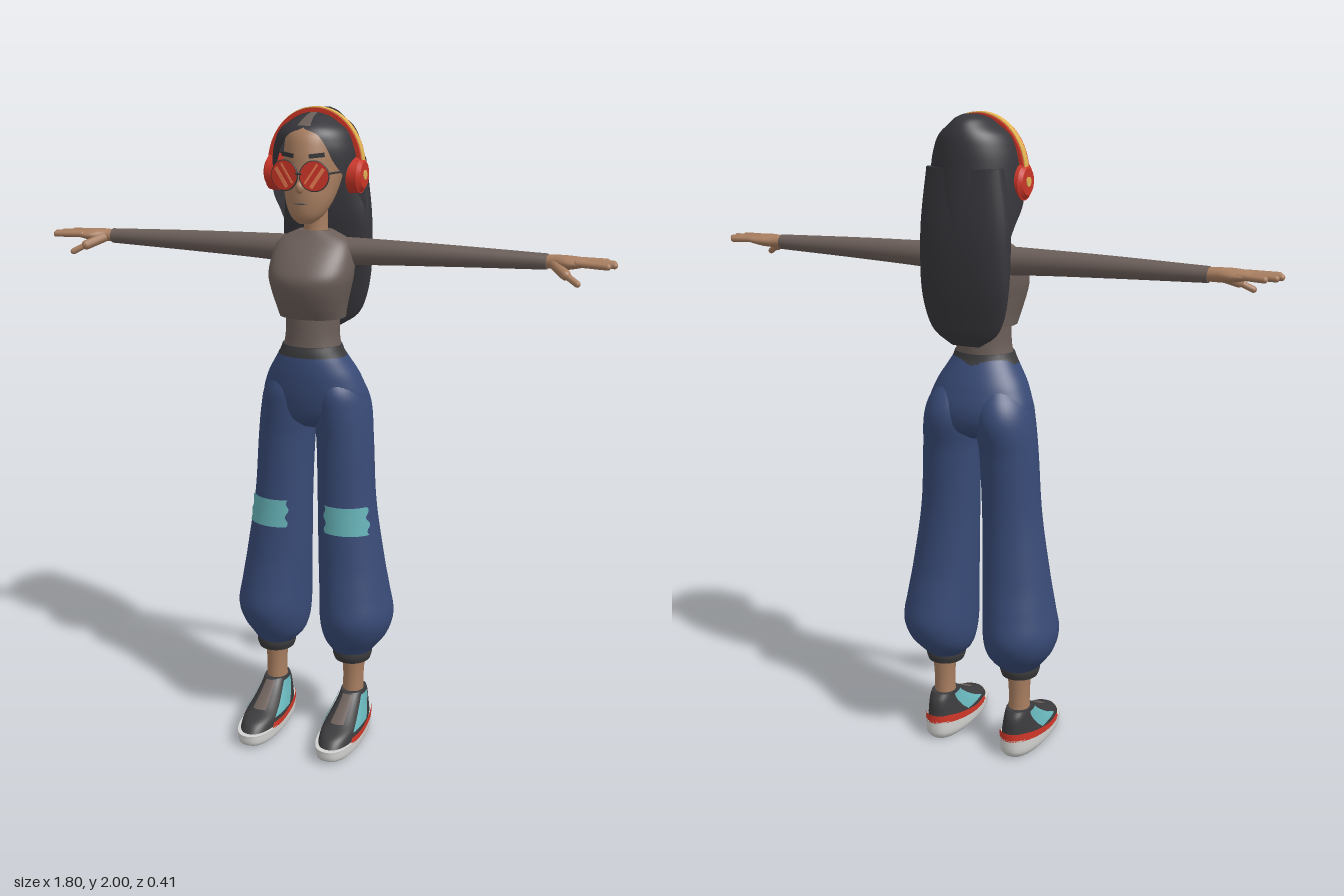
import * as THREE from 'three';

const mat = (name, color, side = THREE.FrontSide) => {
  const m = new THREE.MeshStandardMaterial({ color, side });
  m.name = name;
  return m;
};

// Smooth interpolation of table rows, keyed by their first column.
function at(rows, y) {
  let i = 0;
  while (i < rows.length - 2 && y > rows[i + 1][0]) i++;
  const a = rows[i], b = rows[i + 1], h = b[0] - a[0];
  const t = THREE.MathUtils.clamp((y - a[0]) / h, 0, 1), t2 = t * t, t3 = t2 * t;
  const slope = (j, k) => {
    const p = rows[Math.max(j - 1, 0)], q = rows[Math.min(j + 1, rows.length - 1)];
    return (q[k] - p[k]) / (q[0] - p[0]);
  };
  return a.slice(1).map((v, n) => {
    const k = n + 1;
    return v * (2 * t3 - 3 * t2 + 1) + b[k] * (3 * t2 - 2 * t3)
      + h * (slope(i, k) * (t3 - 2 * t2 + t) + slope(i + 1, k) * (t3 - t2));
  });
}

// Lofts rounded sections [y, xMin, xMax, zBack, zFront]; angle 0 is +x, 90 is the front.
// With a0 / a1 it makes an open patch of the same surface, pushed out by off.
function loft(rows, { p = 2, y0 = rows[0][0], y1 = rows[rows.length - 1][0], ny = 28, na = 36,
  a0 = null, a1 = null, off = 0, caps = a0 === null } = {}) {
  const closed = a0 === null, cols = closed ? na : na + 1, pos = [], idx = [];
  const pw = (v) => Math.sign(v) * Math.pow(Math.abs(v), 2 / p);
  for (let i = 0; i <= ny; i++) {
    const y = y0 + (y1 - y0) * i / ny, [xa, xb, za, zb] = at(rows, y);
    const s = closed ? 0 : a0(y), e = closed ? 360 : a1(y);
    for (let j = 0; j < cols; j++) {
      const t = THREE.MathUtils.degToRad(s + (e - s) * j / na);
      pos.push((xa + xb) / 2 + ((xb - xa) / 2 + off) * pw(Math.cos(t)), y,
        (za + zb) / 2 + ((zb - za) / 2 + off) * pw(Math.sin(t)));
    }
  }
  for (let i = 0; i < ny; i++) for (let j = 0; j < na; j++) {
    const a = i * cols + j, b = i * cols + (j + 1) % cols, c = a + cols, d = b + cols;
    idx.push(a, c, b, b, c, d);
  }
  if (caps) for (const row of [0, ny]) {
    const base = pos.length / 3, [xa, xb, za, zb] = at(rows, row ? y1 : y0);
    for (let j = 0; j < cols; j++) pos.push(...pos.slice((row * cols + j) * 3, (row * cols + j) * 3 + 3));
    pos.push((xa + xb) / 2, row ? y1 : y0, (za + zb) / 2);
    for (let j = 0; j < na; j++) {
      const u = base + j, v = base + (j + 1) % cols;
      idx.push(base + cols, row ? v : u, row ? u : v);
    }
  }
  const g = new THREE.BufferGeometry();
  g.setAttribute('position', new THREE.Float32BufferAttribute(pos, 3));
  g.setIndex(idx);
  g.computeVertexNormals();
  return g;
}

// Rounded rod between two points.
function rod(a, b, r) {
  const A = new THREE.Vector3(...a), B = new THREE.Vector3(...b), d = B.clone().sub(A);
  const q = new THREE.Quaternion().setFromUnitVectors(new THREE.Vector3(0, 1, 0), d.clone().normalize());
  return new THREE.CapsuleGeometry(r, d.length(), 5, 12).applyQuaternion(q).translate(...A.add(B).multiplyScalar(0.5).toArray());
}

function mirrored(geo) {
  const g = geo.clone().scale(-1, 1, 1);
  if (!g.index) g.setIndex([...Array(g.attributes.position.count).keys()]);
  const ix = g.index.array;
  for (let i = 0; i < ix.length; i += 3) [ix[i], ix[i + 2]] = [ix[i + 2], ix[i]];
  return g;
}

// The sole line climbs towards the heel.
function raiseHeel(g) {
  const q = g.attributes.position;
  for (let i = 0; i < q.count; i++)
    q.setY(i, q.getY(i) * (1 + 0.45 * THREE.MathUtils.clamp((0.05 - q.getZ(i)) / 0.15, 0, 1)));
  g.computeVertexNormals();
  return g;
}

export function createModel() {
  const model = new THREE.Group();
  model.name = 'woman';
  const hair = mat('hair black', 0x36363b, THREE.DoubleSide), skin = mat('skin', 0xa87e60);
  const shirt = mat('shirt brown', 0x6b5e59), denim = mat('trouser blue', 0x384a76);
  const dark = mat('charcoal', 0x3b3b3d), teal = mat('teal', 0x66b3b8), red = mat('red', 0xcc3527);
  const yellow = mat('yellow', 0xe3b354), white = mat('sole white', 0xd2d2d0), glare = mat('lens orange', 0xe87a50);
  const add = (name, geo, m) => {
    const mesh = new THREE.Mesh(geo, m);
    mesh.name = name;
    model.add(mesh);
  };
  const pair = (name, geo, m) => {
    add(name + 'Left', geo, m);
    add(name + 'Right', mirrored(geo), m);
  };
  const sym = (rows) => rows.map(([y, w, zb, zf]) => [y, -w, w, zb, zf]);
  const fix = (v) => () => v;

  // Head and face
  add('head', loft(sym([[1.67, .02, .015, .055], [1.688, .045, -.02, .07], [1.73, .068, -.07, .078],
    [1.78, .08, -.12, .08], [1.83, .086, -.15, .076], [1.88, .088, -.16, .07], [1.93, .08, -.15, .052],
    [1.965, .05, -.12, .01]])), skin);
  add('neck', loft(sym([[1.6, .045, -.1, -.01], [1.65, .036, -.085, -.015], [1.74, .038, -.085, -.01]])), skin);
  add('nose', new THREE.SphereGeometry(.014, 16, 12).scale(.9, 1.3, 1).translate(0, 1.778, .08), skin);
  add('mouth', new THREE.SphereGeometry(.02, 16, 10).scale(1, .2, .3).translate(0, 1.732, .075), shirt);
  pair('eyebrow', new THREE.BoxGeometry(.046, .012, .009).rotateZ(.1).rotateY(.4).translate(.044, 1.868, .058), hair);

  // Round glasses
  const place = (g) => g.rotateY(.15).translate(.046, 1.812, .082);
  pair('lens', place(new THREE.CylinderGeometry(.042, .042, .006, 32).rotateX(Math.PI / 2)), red);
  pair('lensRim', place(new THREE.TorusGeometry(.042, .003, 8, 36)), dark);
  for (const [i, w] of [[-1, .006], [1, .011]])
    pair('lensStripe' + (i > 0 ? 'Wide' : 'Narrow'),
      place(new THREE.BoxGeometry(w, .066, .002).translate(i * .011, 0, .0035).rotateZ(-.6)), glare);
  add('glassesBridge', rod([-.008, 1.818, .09], [.008, 1.818, .09], .003), dark);
  pair('glassesTemple', rod([.087, 1.82, .074], [.12, 1.822, -.04], .003), dark);

  // Hair: a cap open around the face and a long flat fall down the back
  const cap = sym([[1.66, .138, -.203, .02], [1.75, .14, -.203, .05], [1.85, .135, -.2, .068],
    [1.9, .125, -.198, .07], [1.94, .105, -.192, .057], [1.97, .065, -.178, .01],
    [1.985, .045, -.162, -.04], [1.995, .02, -.14, -.085]]);
  const opening = [[1.66, 105], [1.7, 95], [1.75, 75], [1.8, 55], [1.85, 40], [1.9, 31], [1.93, 20], [1.945, 0], [2, 0]];
  const gap = (y) => (y >= 1.945 ? 0 : Math.max(0, at(opening, y)[0]));
  add('hairCap', loft(cap, { ny: 60, na: 56, a0: (y) => 90 + gap(y), a1: (y) => 450 - gap(y), caps: true }), hair);
  add('hairParting', loft(cap, { y0: 1.95, y1: 1.984, ny: 8, na: 6, a0: fix(78), a1: fix(102), off: .003 }), shirt);
  add('hairFall', loft(sym([[1.335, .045, -.152, -.142], [1.37, .098, -.163, -.135], [1.42, .125, -.173, -.127],
    [1.5, .14, -.188, -.118], [1.6, .143, -.2, -.1], [1.7, .14, -.203, -.09], [1.85, .12, -.195, -.1]]),
    { p: 2.3, ny: 40 }), hair);

  // Headphones
  const band = (rx, ry, t, width) => {
    const s = new THREE.Shape();
    s.absellipse(0, 0, rx, ry, 0, Math.PI, false);
    s.absellipse(0, 0, rx - t, ry - t, Math.PI, 0, true);
    return new THREE.ExtrudeGeometry(s, { depth: width, bevelEnabled: false, curveSegments: 40 }).translate(0, 1.83, -.052 - width / 2);
  };
  add('headbandEdge', band(.147, .167, .012, .042), red);
  add('headbandCentre', band(.15, .17, .012, .024), yellow);
  const disc = (r0, r1, x0, x1) => new THREE.CylinderGeometry(r1, r0, x1 - x0, 32)
    .rotateZ(-Math.PI / 2).translate((x0 + x1) / 2, 1.808, -.05);
  pair('earCup', disc(.055, .053, .112, .143), red);
  pair('earCupCover', disc(.05, .038, .143, .153), red);
  pair('earCupButton', disc(.014, .014, .153, .156), yellow);

  // Jumper with a cropped outer layer
  add('jumperBody', loft(sym([[1.385, .101, -.108, .056], [1.42, .108, -.112, .076], [1.47, .12, -.118, .096],
    [1.51, .128, -.123, .1], [1.55, .128, -.123, .078], [1.59, .12, -.115, .045], [1.62, .1, -.102, .015],
    [1.643, .052, -.09, -.004]]), { p: 2.25, ny: 36, na: 48 }), shirt);
  add('jumperWaist', loft(sym([[1.28, .093, -.1, .053], [1.33, .084, -.1, .05], [1.4, .084, -.1, .048]])), shirt);

  // Sleeves and hands are lofted along y, then laid along x
  const lay = (rows) => loft(rows.map(([x, lo, hi, zb, zf]) => [x, -hi, -lo, zb, zf]), { na: 24 }).rotateZ(-Math.PI / 2);
  pair('sleeve', lay([[.07, 1.53, 1.622, -.108, -.012], [.13, 1.54, 1.622, -.1, -.02],
    [.4, 1.552, 1.617, -.09, -.028], [.7, 1.562, 1.608, -.083, -.036]]), shirt);
  pair('hand', lay([[.68, 1.567, 1.603, -.078, -.04], [.72, 1.566, 1.606, -.084, -.032], [.76, 1.567, 1.606, -.097, -.01],
    [.8, 1.575, 1.602, -.1, -.008], [.822, 1.582, 1.598, -.094, -.014]]), skin);
  [[-.017, -.006, .878], [-.04, -.036, .892], [-.064, -.066, .885], [-.088, -.096, .862]].forEach(([za, zb, tip], i) =>
    pair('finger' + (i + 1), rod([.79, 1.59, za], [tip, 1.588, zb], .0095), skin));
  pair('thumbBase', rod([.725, 1.58, -.04], [.765, 1.56, .002], .015), skin);
  pair('thumb', rod([.76, 1.563, 0], [.802, 1.54, .02], .0095), skin);

  // Loose trousers
  add('trouserHips', loft(sym([[1.04, .05, -.1, .005], [1.07, .14, -.145, .036], [1.13, .167, -.16, .054],
    [1.2, .147, -.143, .062], [1.25, .118, -.122, .062], [1.285, .096, -.104, .057]]), { p: 2.15, na: 48 }), denim);
  const leg = [[.285, .08, .185, -.1, .02], [.32, .045, .215, -.135, .038], [.36, .03, .243, -.168, .062],
    [.42, .024, .259, -.187, .08], [.5, .022, .247, -.175, .07], [.6, .018, .23, -.156, .055],
    [.8, .014, .2, -.14, .042], [1, .008, .186, -.15, .042], [1.1, -.002, .175, -.168, .05],
    [1.16, .002, .158, -.154, .052], [1.22, .03, .115, -.11, .03]];
  pair('trouserLeg', loft(leg, { ny: 56, na: 40 }), denim);
  pair('kneePatch', loft(leg, { y0: .71, y1: .8, ny: 18, na: 16, off: .004,
    a0: (y) => 31 + 4 * Math.sin((y - .71) * 140), a1: (y) => 118 + 3 * Math.sin((y - .71) * 140) }), teal);
  add('waistband', loft(sym([[1.268, .108, -.113, .063], [1.282, .1, -.107, .061], [1.3, .093, -.102, .056]]), { ny: 6 }), dark);
  pair('trouserCuff', loft([[.265, .076, .19, -.102, .02], [.285, .07, .196, -.108, .027], [.312, .072, .194, -.106, .025]], { ny: 10 }), dark);
  pair('ankle', loft([[.1, .098, .17, -.085, -.008], [.2, .102, .168, -.083, -.012], [.29, .095, .175, -.09, -.005]], { ny: 8, na: 24 }), skin);

  // Trainers
  const sole = [[0, .082, .188, -.112, .185], [.012, .072, .198, -.128, .206], [.045, .069, .201, -.131, .211]];
  const upper = [[.035, .073, .197, -.126, .203], [.07, .076, .194, -.122, .168], [.09, .082, .188, -.12, .112],
    [.115, .09, .181, -.118, .06], [.135, .095, .177, -.112, .025], [.152, .098, .174, -.1, .002]];
  pair('shoeSole', raiseHeel(loft(sole, { p: 2.4, ny: 8, na: 48 })), white);
  pair('shoeUpper', loft(upper, { p: 2.3, na: 48 }), dark);
  pair('shoeStripe', raiseHeel(loft(upper, { p: 2.3, y0: .042, y1: .06, ny: 4, na: 40, off: .006, a0: fix(148), a1: fix(392) })), red);
  pair('shoeOuterPanel', loft(upper, { p: 2.3, y0: .07, y1: .145, ny: 12, na: 12, off: .004, a0: fix(-8), a1: fix(30) }), teal);
  pair('shoeInnerPanel', loft(upper, { p: 2.3, y0: .07, y1: .145, ny: 12, na: 12, off: .004, a0: fix(150), a1: fix(188) }), teal);
  pair('shoeTongue', loft(upper, { p: 2.3, y0: .092, y1: .15, ny: 10, na: 12, off: .004, a0: fix(70), a1: fix(110) }), shirt);
  return model;
}
